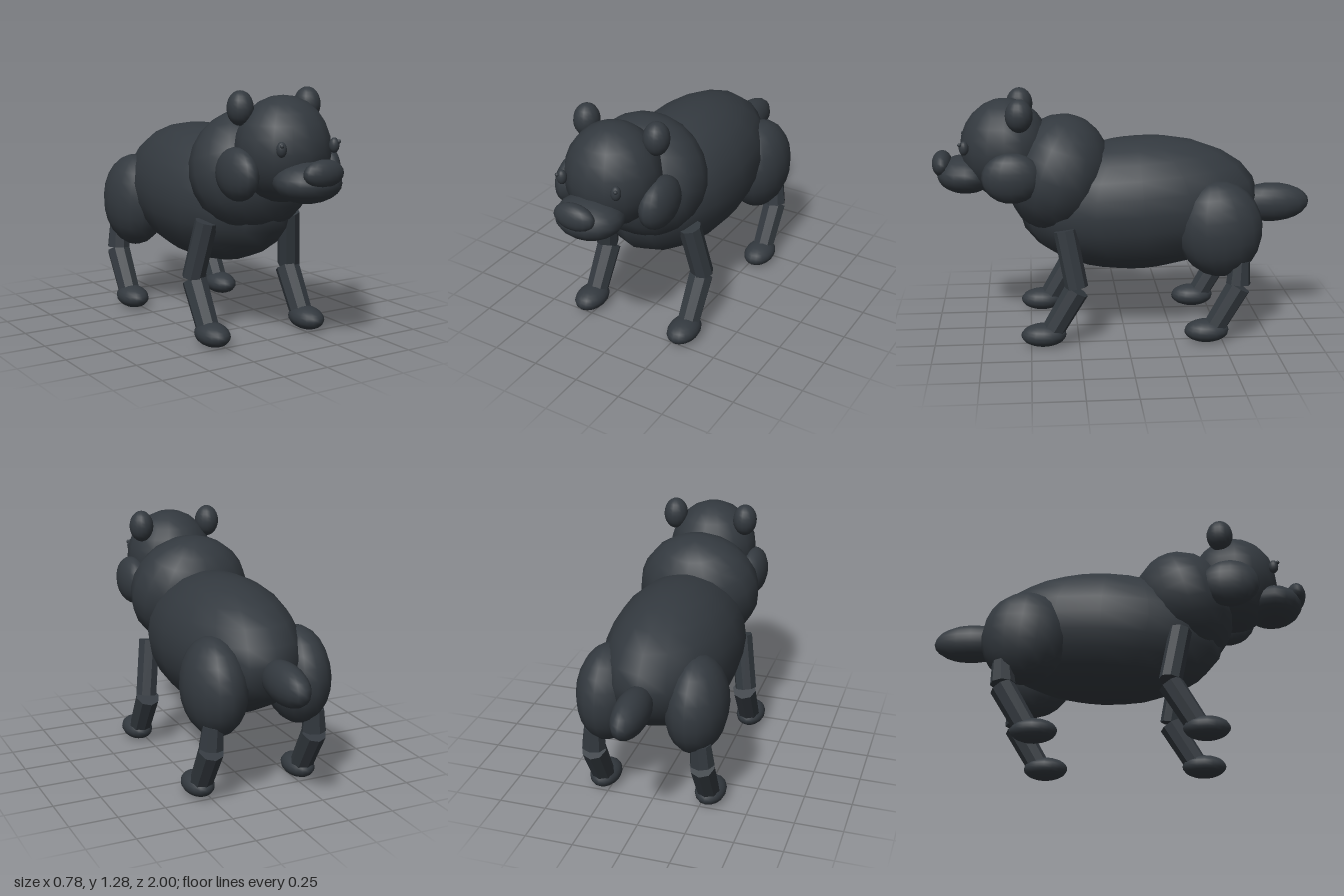
import * as THREE from 'three';

export function createModel() {
  const root = new THREE.Group();
  root.name = 'bear';

  const fur = new THREE.MeshStandardMaterial({ color: 0x33393f });
  fur.name = 'charcoal fur';

  const ball = new THREE.SphereGeometry(1, 16, 12);

  // Smooth ellipsoid: centre, radii and forward tilt
  function blob(name, [x, y, z], [rx, ry, rz], tilt = 0) {
    const mesh = new THREE.Mesh(ball, fur);
    mesh.name = name;
    mesh.position.set(x, y, z);
    mesh.scale.set(rx, ry, rz);
    mesh.rotation.x = tilt;
    root.add(mesh);
  }

  // Faceted leg section running between two joints
  function limb(name, from, to, rTop, rBottom) {
    const a = new THREE.Vector3(...from);
    const b = new THREE.Vector3(...to);
    const dir = a.clone().sub(b);
    const geo = new THREE.CylinderGeometry(rTop, rBottom, dir.length(), 8).toNonIndexed();
    geo.computeVertexNormals(); // flat facets
    const mesh = new THREE.Mesh(geo, fur);
    mesh.name = name;
    mesh.position.copy(a).add(b).multiplyScalar(0.5);
    mesh.quaternion.setFromUnitVectors(new THREE.Vector3(0, 1, 0), dir.normalize());
    root.add(mesh);
  }

  // Trunk and head
  blob('body', [0, 0.69, -0.085], [0.34, 0.355, 0.635], 0.06);
  blob('neck', [0, 0.855, 0.34], [0.33, 0.315, 0.27], -0.3);
  blob('head', [0, 0.995, 0.615], [0.24, 0.26, 0.235]);
  blob('muzzle', [0, 0.86, 0.82], [0.172, 0.1, 0.155]);
  blob('nose', [0, 0.917, 0.945], [0.11, 0.067, 0.053]);
  blob('tail', [0, 0.675, -0.795], [0.085, 0.105, 0.205]);

  // Mirrored parts
  for (const [side, s] of [['left', 1], ['right', -1]]) {
    blob(side + 'Cheek', [s * 0.24, 0.885, 0.583], [0.08, 0.13, 0.153]);
    blob(side + 'Ear', [s * 0.197, 1.195, 0.54], [0.065, 0.085, 0.07]);
    blob(side + 'Eye', [s * 0.152, 1.025, 0.822], [0.025, 0.037, 0.025]);
    blob(side + 'Pupil', [s * 0.164, 1.044, 0.843], [0.01, 0.01, 0.01]);
    blob(side + 'Thigh', [s * 0.23, 0.595, -0.483], [0.16, 0.253, 0.225], 0.1);

    // Front leg
    limb(side + 'FrontUpperLeg', [s * 0.25, 0.61, 0.318], [s * 0.295, 0.315, 0.262], 0.059, 0.059);
    limb(side + 'FrontLowerLeg', [s * 0.287, 0.3, 0.262], [s * 0.287, 0.09, 0.385], 0.065, 0.06);
    blob(side + 'FrontPaw', [s * 0.288, 0.062, 0.435], [0.08, 0.06, 0.117]);

    // Hind leg
    limb(side + 'HindUpperLeg', [s * 0.28, 0.435, -0.585], [s * 0.287, 0.315, -0.577], 0.053, 0.064);
    limb(side + 'HindLowerLeg', [s * 0.287, 0.3, -0.58], [s * 0.287, 0.09, -0.46], 0.065, 0.06);
    blob(side + 'HindPaw', [s * 0.288, 0.062, -0.415], [0.08, 0.06, 0.117]);
  }

  // Rest the paws on the ground
  root.children.forEach((part) => { part.position.y -= 0.002; });
  return root;
}
